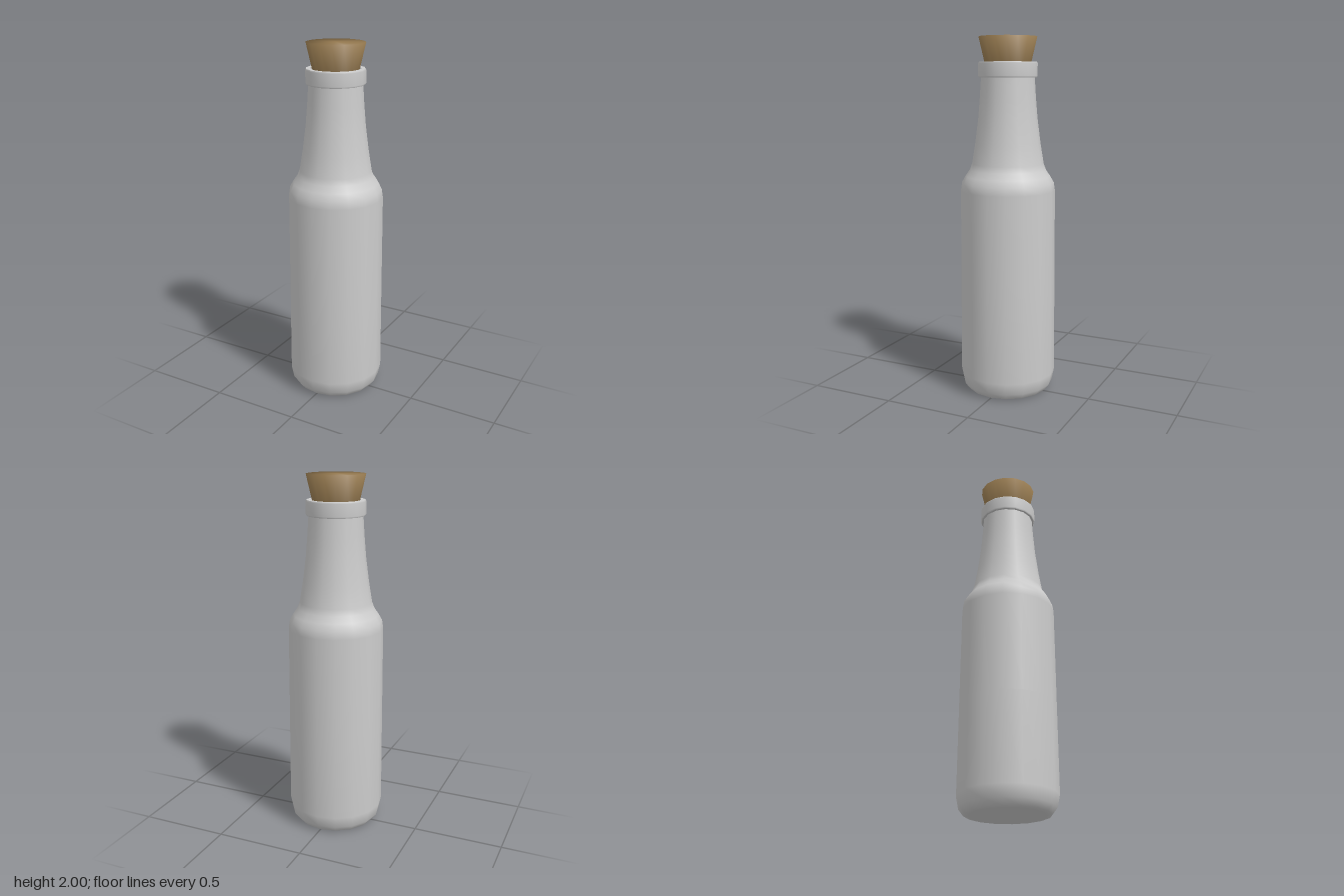
import * as THREE from 'three';

const SIDES = 16;

// Turned part from [radius, height] pairs running up the outside
function turned(name, profile, material) {
  const points = profile.map(([r, y]) => new THREE.Vector2(r, y));
  const mesh = new THREE.Mesh(new THREE.LatheGeometry(points, SIDES), material);
  mesh.name = name;
  return mesh;
}

export function createModel() {
  const glass = new THREE.MeshStandardMaterial({ name: 'pale grey glass', color: 0xcccccc });
  const corkBrown = new THREE.MeshStandardMaterial({ name: 'cork brown', color: 0x967a50 });
  const bottle = new THREE.Group();
  bottle.name = 'corkedBottle';

  // Body, shoulder and neck in one smooth sweep
  bottle.add(turned('body', [
    [0, 0.005], [0.2, 0.005], [0.23, 0.01], [0.257, 0.045], [0.27, 0.11],
    [0.267, 0.6], [0.264, 1.16], [0.257, 1.205], [0.237, 1.24], [0.213, 1.275],
    [0.2, 1.31], [0.182, 1.42], [0.164, 1.56], [0.154, 1.68], [0.147, 1.79],
  ], glass));

  // Lip: separate bands keep its edges crisp
  const lip = new THREE.Group();
  lip.name = 'lip';
  lip.add(
    turned('lipUnderside', [[0.14, 1.782], [0.159, 1.782]], glass),
    turned('lipBand', [[0.159, 1.782], [0.163, 1.79], [0.163, 1.857], [0.159, 1.865]], glass),
    turned('lipTop', [[0.159, 1.865], [0.136, 1.865]], glass),
    turned('lipInside', [[0.136, 1.865], [0.13, 1.8], [0.09, 1.8]], glass),
  );
  bottle.add(lip);

  // Tapered stopper pushed into the neck
  bottle.add(turned('cork', [[0, 1.76], [0.104, 1.76], [0.16, 2], [0, 2]], corkBrown));

  return bottle;
}
